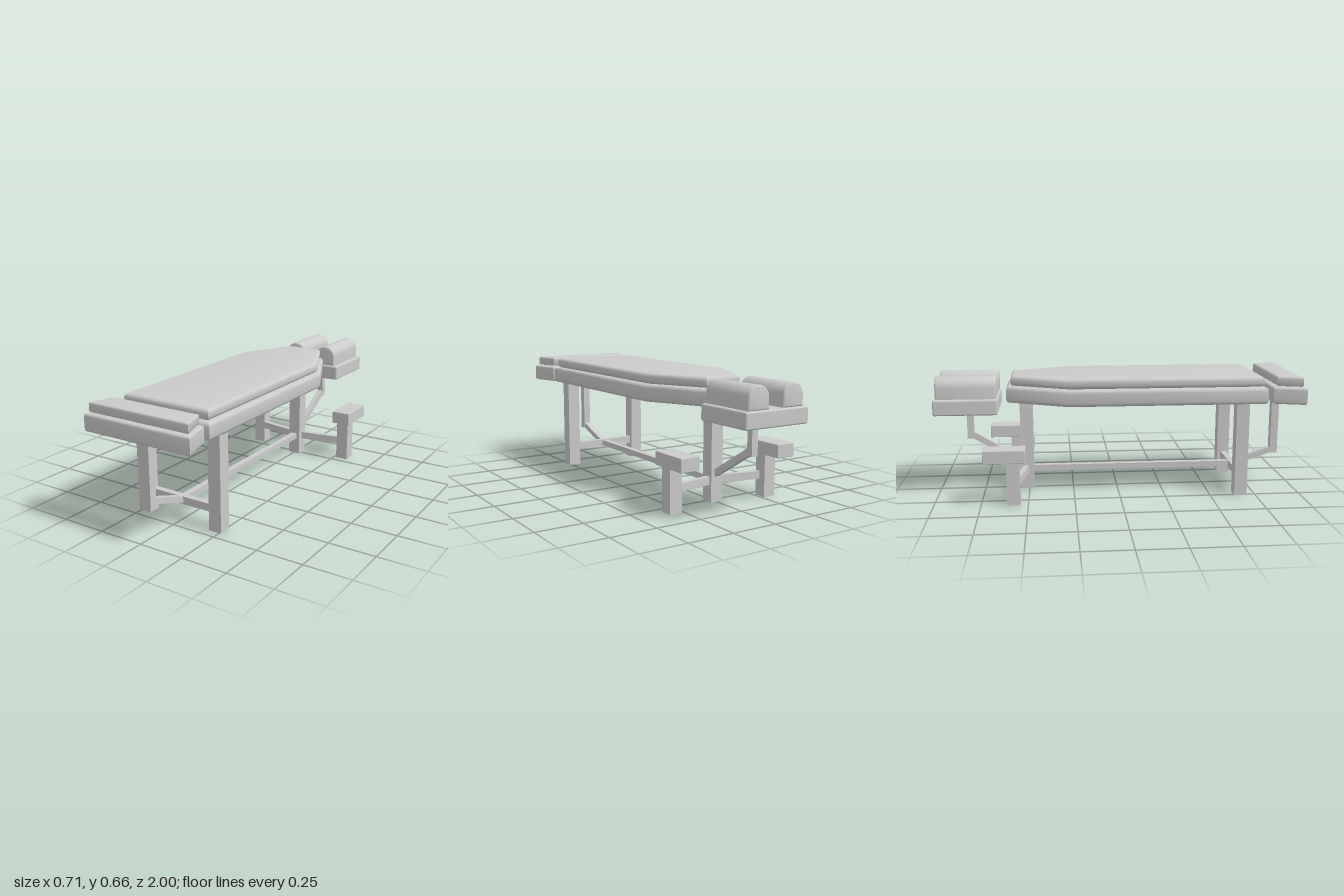
import * as THREE from 'three';
import { toCreasedNormals } from 'three/addons/utils/BufferGeometryUtils.js';
import { RoundedBoxGeometry } from 'three/addons/geometries/RoundedBoxGeometry.js';

const material = new THREE.MeshStandardMaterial({ color: 0xcccccc });

export function createModel() {
  const model = new THREE.Group();
  model.name = 'massageTable';

  const add = (name, geometry) => {
    const mesh = new THREE.Mesh(geometry, material);
    mesh.name = name;
    model.add(mesh);
    return mesh;
  };

  // Box given by its minimum and maximum on each axis
  const block = (name, [x0, x1], [y0, y1], [z0, z1], radius = 0) => {
    const size = [x1 - x0, y1 - y0, z1 - z0];
    const geometry = radius
      ? new RoundedBoxGeometry(...size, 3, radius)
      : new THREE.BoxGeometry(...size);
    add(name, geometry).position.set((x0 + x1) / 2, (y0 + y1) / 2, (z0 + z1) / 2);
  };

  // Symmetric slab with rounded edges; half holds [x, z] corners of the +x side
  const slab = (name, half, y0, y1, bevel) => {
    const mirrored = half.map(([x, z]) => [-x, z]).reverse();
    const shape = new THREE.Shape([...half, ...mirrored].map(([x, z]) => new THREE.Vector2(x, -z)));
    const geometry = new THREE.ExtrudeGeometry(shape, {
      depth: y1 - y0 - 2 * bevel,
      bevelThickness: bevel, bevelSize: bevel, bevelOffset: -bevel, bevelSegments: 4,
    });
    geometry.rotateX(-Math.PI / 2).translate(0, y0 + bevel, 0);
    add(name, toCreasedNormals(geometry, 0.6));
  };

  // Square bar running between two points
  const bar = (name, from, to, width, height) => {
    const a = new THREE.Vector3(...from), b = new THREE.Vector3(...to);
    const mesh = add(name, new THREE.BoxGeometry(width, height, a.distanceTo(b)));
    mesh.position.copy(a).lerp(b, 0.5);
    mesh.lookAt(b);
  };

  // Main bed: tapered base and cushion
  slab('bedBase', [[0.275, 0.8], [0.275, -0.275], [0.115, -0.612]], 0.512, 0.604, 0.02);
  slab('bedCushion', [[0.256, 0.78], [0.256, -0.275], [0.106, -0.588]], 0.604, 0.66, 0.02);

  // Foot rest, wider at the outer end
  slab('footRestBase', [[0.316, 1], [0.268, 0.83]], 0.512, 0.604, 0.013);
  slab('footRestCushion', [[0.296, 0.982], [0.256, 0.85]], 0.608, 0.66, 0.01);

  // Head rest with two half-round cushions
  block('headRestBase', [-0.19, 0.19], [0.46, 0.545], [-1, -0.656], 0.01);
  for (const side of [-1, 1]) {
    const r = 0.061, bevel = 0.008;
    const profile = new THREE.Shape();
    profile.moveTo(-r, 0.545);
    profile.lineTo(r, 0.545);
    profile.lineTo(r, 0.6);
    profile.absarc(0, 0.6, r, 0, Math.PI);
    profile.closePath();
    const geometry = new THREE.ExtrudeGeometry(profile, {
      depth: 0.325 - 2 * bevel, curveSegments: 20,
      bevelThickness: bevel, bevelSize: bevel, bevelOffset: -bevel, bevelSegments: 3,
    });
    geometry.translate(side * 0.104, 0, -0.987 + bevel);
    add('headCushion', toCreasedNormals(geometry, 0.6));
  }

  // Legs and arm rests
  for (const side of [-1, 1]) {
    const span = (a, b) => [side * a, side * b].sort((p, q) => p - q);
    block('frontLeg', span(0.19, 0.262), [0, 0.52], [0.632, 0.702]);
    block('armRestLeg', span(0.264, 0.335), [0, 0.24], [-0.612, -0.542]);
    block('armRestPad', span(0.245, 0.354), [0.234, 0.305], [-0.732, -0.51], 0.003);
    bar('armRestBar', [0, 0.114, -0.51], [side * 0.29, 0.114, -0.562], 0.03, 0.042);
  }
  block('rearLeg', [-0.036, 0.036], [0, 0.52], [-0.545, -0.473]);

  // Stretchers between the legs
  block('crossBar', [-0.2, 0.2], [0.092, 0.134], [0.65, 0.684]);
  block('lengthBar', [-0.017, 0.017], [0.097, 0.13], [-0.48, 0.667]);

  // Posts and braces of the foot rest and head rest
  block('footRestPost', [-0.021, 0.021], [0.175, 0.52], [0.895, 0.937]);
  bar('footRestBrace', [0, 0.112, 0.667], [0, 0.198, 0.915], 0.034, 0.032);
  block('headRestPost', [-0.018, 0.018], [0.293, 0.47], [-0.84, -0.804]);
  bar('headRestBrace', [0, 0.135, -0.51], [0, 0.322, -0.822], 0.03, 0.034);

  return model;
}
